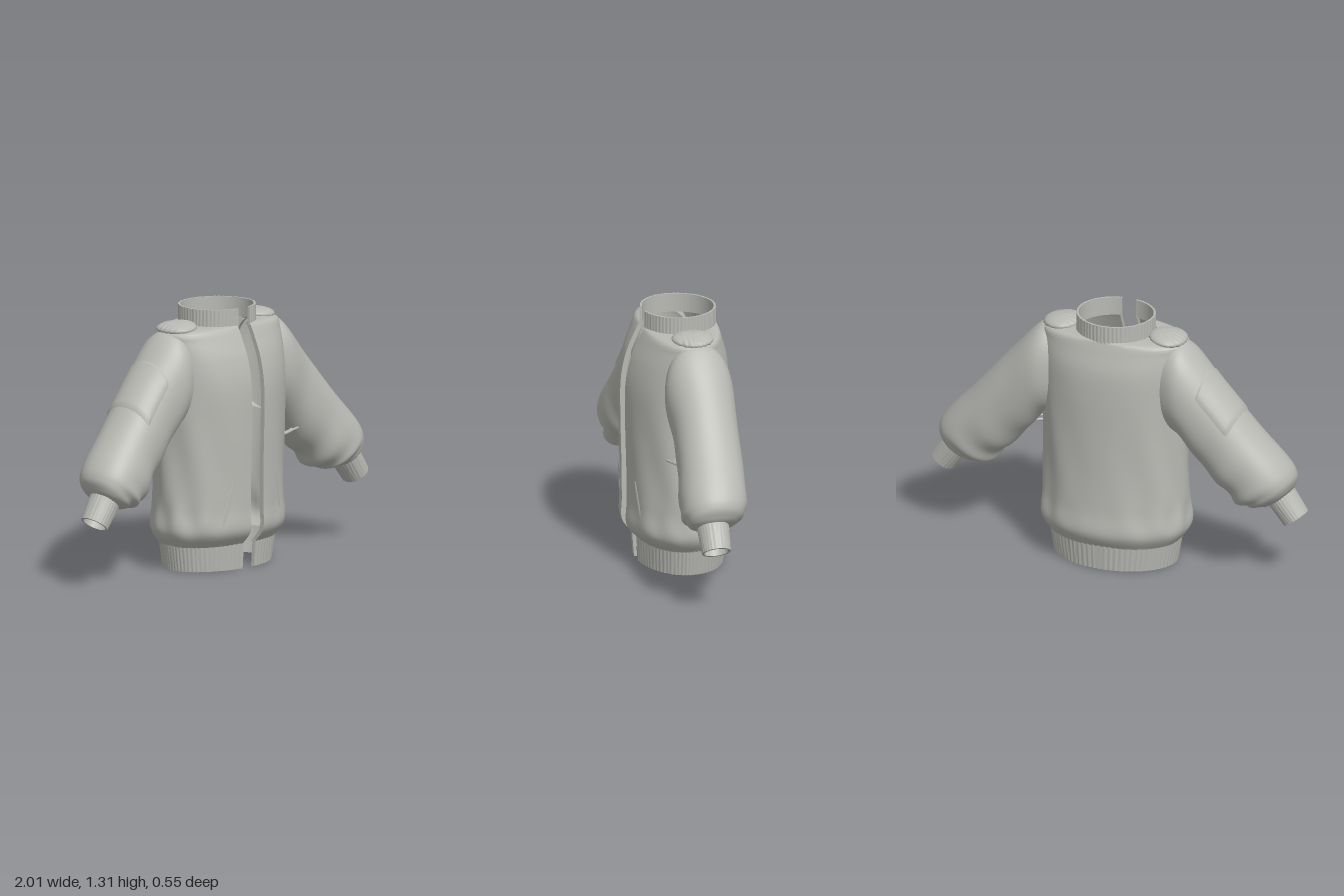
import * as THREE from 'three';
import { toCreasedNormals } from 'three/addons/utils/BufferGeometryUtils.js';

const fabric = new THREE.MeshStandardMaterial({ color: 0xb9b9b4, side: THREE.DoubleSide });
fabric.name = 'grey fabric';
const { sin, cos, PI, sign, abs, pow, asin, min, max, floor } = Math;
const TAU = PI * 2;

// Surface from a rule fn(i, j) -> [x, y, z]
function surface(name, nu, nv, fn, { closed = false, flip = false, crease = 0 } = {}) {
  const pos = [], idx = [], cols = closed ? nu : nu + 1;
  for (let j = 0; j <= nv; j++) for (let i = 0; i < cols; i++) pos.push(...fn(i, j));
  for (let j = 0; j < nv; j++) for (let i = 0; i < nu; i++) {
    const a = j * cols + i, b = j * cols + (i + 1) % cols, c = b + cols, d = a + cols;
    if (flip) idx.push(a, c, b, a, d, c); else idx.push(a, b, c, a, c, d);
  }
  let geo = new THREE.BufferGeometry();
  geo.setAttribute('position', new THREE.Float32BufferAttribute(pos, 3));
  geo.setIndex(idx);
  geo.computeVertexNormals();
  if (crease) geo = toCreasedNormals(geo, crease);
  const mesh = new THREE.Mesh(geo, fabric);
  mesh.name = name;
  return mesh;
}

// Smooth blend between rows of section numbers, t from 0 to 1
function blend(rows, t) {
  const n = rows.length - 1, k = min(floor(t * n), n - 1), f = t * n - k;
  const [p, a, b, q] = [max(k - 1, 0), k, k + 1, min(k + 2, n)].map(i => rows[i]);
  return a.map((v, i) => {
    const m0 = (b[i] - p[i]) / 2, m1 = (q[i] - v) / 2, d = b[i] - v;
    return v + f * (m0 + f * (3 * d - 2 * m0 - m1 + f * (m0 + m1 - 2 * d)));
  });
}

const bump = (d, w) => Math.exp(-(d * d) / (w * w));
const power = (v, e) => sign(v) * pow(abs(v), e);

// Torso sections: y, half width, front z, back z
const TORSO = [
  [0.125, 0.34, 0.21, -0.235], [0.2, 0.385, 0.268, -0.27], [0.32, 0.378, 0.268, -0.258],
  [0.5, 0.374, 0.27, -0.25], [0.7, 0.375, 0.275, -0.248], [0.92, 0.38, 0.275, -0.248],
  [1.06, 0.385, 0.25, -0.24], [1.16, 0.385, 0.21, -0.215], [1.212, 0.365, 0.185, -0.2],
  [1.226, 0.2, 0.175, -0.195],
];
const GAP = 0.04;

function torsoPoint(t, s, lift = 0) {
  const [y, rx, zf, zb] = blend(TORSO, t);
  const a0 = asin(GAP / rx), a = a0 + s * (TAU - 2 * a0);
  const side = abs(sin(a)), body = bump(y - 0.5, 0.35);
  // slanting folds, stronger over the lower half
  const fold = 0.006 * body * side * sin(9 * a + 7 * y) + 0.006 * bump(y - 0.26, 0.08) * side * sin(13 * a);
  const k = fold + lift;
  return [(rx + k) * power(sin(a), 0.95), y + fold * 0.5, (cos(a) > 0 ? zf + k : -zb + k) * power(cos(a), 0.95)];
}

// Sleeve sections: top x, top y, bottom x, bottom y, centre z, half depth
const SLEEVE = [
  [0.27, 1.2, 0.3, 0.74, -0.015, 0.14], [0.385, 1.205, 0.37, 0.72, -0.015, 0.172],
  [0.56, 1.02, 0.46, 0.61, -0.015, 0.162], [0.75, 0.8, 0.58, 0.48, 0, 0.165],
  [0.9, 0.635, 0.665, 0.395, 0.018, 0.168], [0.943, 0.56, 0.73, 0.382, 0.025, 0.148],
  [0.937, 0.505, 0.79, 0.385, 0.035, 0.115], [0.92, 0.47, 0.822, 0.39, 0.043, 0.07],
];

function sleevePoint(t, a, side, lift = 0) {
  const [tx, ty, bx, by, zc, hd] = blend(SLEEVE, t);
  const hx = (tx - bx) / 2, hy = (ty - by) / 2, len = Math.hypot(hx, hy);
  const crease = 0.006 * bump(t - 0.55, 0.25) * sin(t * 38 + 2 * sin(a)) * max(0, -cos(a) + 0.5);
  const k = 1 + (crease + lift) / len;
  const c = power(cos(a), 0.92) * k, s = power(sin(a), 0.92) * k;
  return [side * ((tx + bx) / 2 + c * hx), (ty + by) / 2 + c * hy, zc + s * hd];
}

// Knitted band: a thick ribbed strip open at the front
function ribbedBand(name, y0, y1, bottom, top, thick, ribs) {
  const n = ribs * 5;
  return surface(name, n + 2, 5, (i, j) => {
    const end = i === 0 || i === n + 2;
    const s = (min(max(i, 1), n + 1) - 1) / n;
    const up = [0, 0.5, 1, 1, 0, 0][j], inner = j === 3 || j === 4;
    const [rx, zf, zb] = bottom.map((v, k) => v + (top[k] - v) * up);
    const inset = end ? thick / 2 : inner ? thick : 0.002 * (1 - cos(s * ribs * TAU));
    const a0 = asin(GAP / rx), a = a0 + s * (TAU - 2 * a0);
    return [(rx - inset) * sin(a), y0 + (y1 - y0) * up, ((cos(a) > 0 ? zf : -zb) - inset) * cos(a)];
  }, { crease: 0.8 });
}

function cuff(side) {
  const start = new THREE.Vector3(0.868, 0.436, 0.043), end = new THREE.Vector3(0.947, 0.327, 0.046);
  const axis = end.clone().sub(start).normalize();
  const across = new THREE.Vector3(-axis.y, axis.x, 0), ribs = 28;
  return surface('cuff', ribs * 5, 4, (i, j) => {
    const a = i / (ribs * 5) * TAU, along = [0, 0.5, 1, 1, 0][j];
    const r = 0.077 - 0.007 * along - (j > 2 ? 0.012 : 0.0012 * (1 - cos(a * ribs)));
    const p = start.clone().lerp(end, along).addScaledVector(across, r * cos(a));
    return [side * p.x, p.y, p.z + r * 1.05 * sin(a)];
  }, { closed: true, flip: side < 0, crease: 0.8 });
}

// Gathered ribbing spreading from the collar over the shoulder
function shoulderGather(side) {
  const geo = new THREE.SphereGeometry(1, 64, 16), p = geo.attributes.position;
  for (let i = 0; i < p.count; i++) {
    const x = p.getX(i), y = p.getY(i), z = p.getZ(i);
    const rib = 1 + 0.09 * sin(z * 24) * (1 - y * y * 0.5);
    p.setXYZ(i, x * (1 + 0.04 * sin(z * 24)) * 0.095, y * rib * 0.032, z * 0.105 * (1 - 0.1 * x));
  }
  geo.computeVertexNormals();
  const mesh = new THREE.Mesh(geo, fabric);
  mesh.name = 'shoulderGather';
  mesh.position.set(side * 0.283, 1.224, -0.012);
  mesh.rotation.z = -side * 0.08;
  return mesh;
}

// Slanted pocket welt laid on the torso front
function pocketWelt(side) {
  return surface('pocketWelt', 2, 14, (i, j) => {
    const f = j / 14, x = 0.212 - 0.06 * f + (i - 1) * 0.006;
    const y = 0.23 + 0.23 * f, z = 0.27 * Math.sqrt(1 - (x / 0.378) ** 2);
    return [side * x, y, z + 0.004 + (i === 1 ? 0.006 : 0)];
  }, { flip: side < 0 });
}

export function createModel() {
  const jacket = new THREE.Group();
  jacket.name = 'jacket';

  // Torso, with its front edges turned inwards
  const n = 120, rows = 72;
  jacket.add(surface('torso', n + 2, rows, (i, j) => {
    const p = torsoPoint(j / rows, (min(max(i, 1), n + 1) - 1) / n);
    if (i === 0 || i === n + 2) p[2] -= 0.025;
    return p;
  }, { crease: 0.9 }));

  jacket.add(ribbedBand('waistband', 0, 0.135, [0.323, 0.207, -0.23], [0.346, 0.217, -0.24], 0.016, 70));
  jacket.add(ribbedBand('collar', 1.215, 1.31, [0.2, 0.18, -0.2], [0.2, 0.18, -0.2], 0.012, 56));

  for (const side of [1, -1]) {
    const arm = new THREE.Group();
    arm.name = side > 0 ? 'leftArm' : 'rightArm';
    arm.add(surface('sleeve', 56, 70, (i, j) => sleevePoint(j / 70, i / 56 * TAU, side),
      { closed: true, flip: side < 0 }));
    arm.add(cuff(side));
    jacket.add(arm, shoulderGather(side), pocketWelt(side));
  }

  // Flat pocket on the right upper sleeve, edges tucked down
  jacket.add(surface('sleevePocket', 18, 14, (i, j) => {
    const edge = i === 0 || i === 18 || j === 0 || j === 14;
    return sleevePoint(0.24 + 0.14 * j / 14, -1.1 + 2.2 * i / 18, -1, edge ? -0.004 : 0.008);
  }, { flip: true, crease: 0.6 }));

  // Cord loop between the torso and the left sleeve
  const loop = new THREE.CatmullRomCurve3([
    [0.335, 0.62, 0.135], [0.42, 0.626, 0.115], [0.5, 0.622, 0.075],
    [0.5, 0.618, 0.05], [0.42, 0.615, 0.085], [0.335, 0.618, 0.115],
  ].map(p => new THREE.Vector3(...p)), true);
  const cord = new THREE.Mesh(new THREE.TubeGeometry(loop, 40, 0.007, 8, true), fabric);
  cord.name = 'cordLoop';
  jacket.add(cord);

  return jacket;
}
